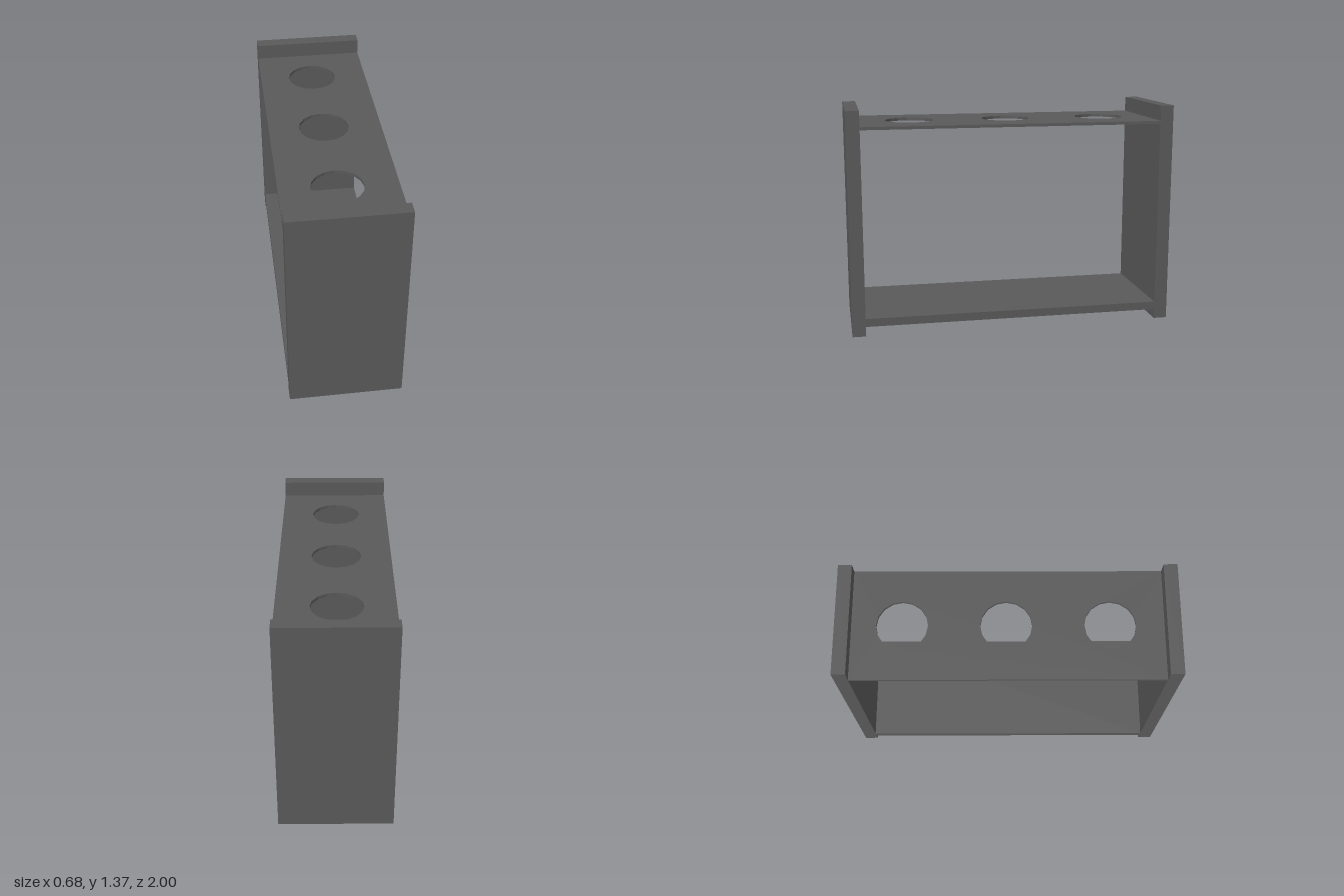
import * as THREE from 'three';

const WIDTH = 0.684;
const INNER = 1.836; // distance between the end panels
const PANEL = 0.082;
const HEIGHT = 1.366;

export function createModel() {
  const rack = new THREE.Group();
  rack.name = 'rack';
  const grey = new THREE.MeshStandardMaterial({ color: 0x595959 });
  grey.name = 'dark grey';

  const add = (name, geometry, y, z = 0) => {
    const mesh = new THREE.Mesh(geometry, grey);
    mesh.name = name;
    mesh.position.set(0, y, z);
    rack.add(mesh);
  };

  // Upright end panels
  for (const [name, side] of [['frontPanel', 1], ['backPanel', -1]]) {
    add(name, new THREE.BoxGeometry(WIDTH, HEIGHT, PANEL), HEIGHT / 2, side * (INNER + PANEL) / 2);
  }

  // Base shelf
  add('baseShelf', new THREE.BoxGeometry(WIDTH, 0.05, INNER), 0.085);

  // Thin top shelf with three round holes
  const w = WIDTH / 2, d = INNER / 2;
  const plate = new THREE.Shape([
    new THREE.Vector2(-w, -d), new THREE.Vector2(w, -d),
    new THREE.Vector2(w, d), new THREE.Vector2(-w, d),
  ]);
  for (const z of [-0.62, -0.01, 0.6]) {
    plate.holes.push(new THREE.Path().absarc(-0.007, -z, 0.152, 0, Math.PI * 2, true));
  }
  const top = new THREE.ExtrudeGeometry(plate, { depth: 0.018, bevelEnabled: false, curveSegments: 8 });
  top.rotateX(-Math.PI / 2);
  add('topShelf', top, 1.254);

  return rack;
}
